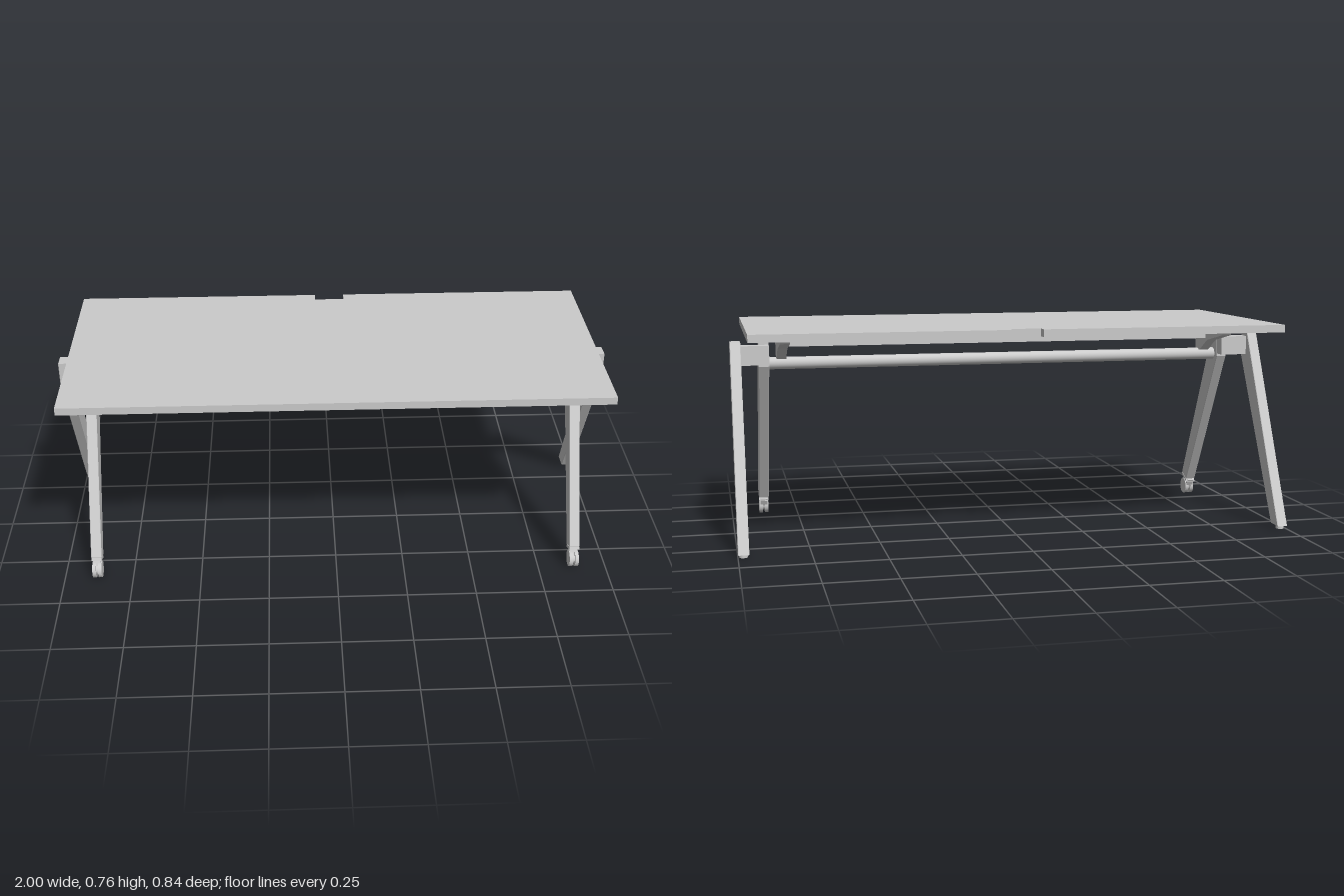
import * as THREE from 'three';

const material = new THREE.MeshStandardMaterial({ color: 0xcccccc });

function add(parent, name, geometry, x = 0, y = 0, z = 0) {
  const mesh = new THREE.Mesh(geometry, material);
  mesh.name = name;
  mesh.position.set(x, y, z);
  parent.add(mesh);
  return mesh;
}

// Side profile given as [z, y] points, extruded along x and centred on x = 0
function sideExtrude(points, width, bevel = 0) {
  const shape = new THREE.Shape(points.map(([z, y]) => new THREE.Vector2(-z, y)));
  const geometry = new THREE.ExtrudeGeometry(shape, {
    depth: width - 2 * bevel, bevelEnabled: bevel > 0, bevelSize: bevel,
    bevelThickness: bevel, bevelOffset: -bevel, bevelSegments: 1,
  });
  geometry.translate(0, 0, bevel - width / 2);
  geometry.rotateY(Math.PI / 2);
  return geometry;
}

// Cylinder lying along x
const axle = (radius, length, sides = 32) =>
  new THREE.CylinderGeometry(radius, radius, length, sides).rotateZ(Math.PI / 2);

function createCaster() {
  const caster = new THREE.Group();
  caster.name = 'caster';
  for (const s of [-1, 1]) add(caster, 'wheel', axle(0.031, 0.013), s * 0.0105, 0.031, 0.342);
  add(caster, 'wheelHub', axle(0.021, 0.03, 20), 0, 0.031, 0.342);
  const tilt = -0.46;
  add(caster, 'casterNeck', new THREE.BoxGeometry(0.026, 0.03, 0.04), 0, 0.055, 0.325).rotation.x = tilt;
  return caster;
}

function createSide(s) {
  const side = new THREE.Group();
  side.name = s > 0 ? 'leftFrame' : 'rightFrame';

  // Front leg with its end cap and caster
  add(side, 'frontLeg', sideExtrude(
    [[0, 0.61], [0, 0.705], [0.052, 0.705], [0.351, 0.089], [0.304, 0.066]], 0.038, 0.002), s * 0.879);
  add(side, 'legCap', sideExtrude(
    [[0.304, 0.064], [0.351, 0.087], [0.355, 0.077], [0.302, 0.053]], 0.036), s * 0.879);
  const caster = createCaster();
  caster.position.x = s * 0.879;
  side.add(caster);

  // Back leg, offset outwards, with a levelling foot
  add(side, 'backLeg', sideExtrude(
    [[0, 0.61], [0, 0.705], [-0.052, 0.705], [-0.385, 0.012], [-0.323, 0.012]], 0.038, 0.002), s * 0.981);
  add(side, 'foot', new THREE.CylinderGeometry(0.015, 0.015, 0.014, 24), s * 0.981, 0.007, -0.36);

  // Block joining the two legs
  add(side, 'legConnector', new THREE.BoxGeometry(0.105, 0.07, 0.05), s * 0.914, 0.655, -0.02);

  // Arm carrying the top, with a clamp reaching down to the crossbar
  add(side, 'supportArm', sideExtrude([
    [-0.205, 0.735], [-0.21, 0.735], [-0.21, 0.718], [-0.203, 0.709], [-0.06, 0.68], [-0.03, 0.665],
    [0.02, 0.635], [0.065, 0.635], [0.065, 0.68], [0.203, 0.709], [0.21, 0.718], [0.21, 0.735],
  ], 0.035), s * 0.815);
  return side;
}

export function createModel() {
  const table = new THREE.Group();
  table.name = 'table';

  // Top with a cable notch in the back edge
  const outline = new THREE.Shape([
    [-0.95, -0.42], [0.95, -0.42], [0.95, 0.42], [0.055, 0.42],
    [0.055, 0.38], [-0.055, 0.38], [-0.055, 0.42], [-0.95, 0.42],
  ].map(([x, y]) => new THREE.Vector2(x, y)));
  const top = new THREE.ExtrudeGeometry(outline, { depth: 0.027, bevelEnabled: false }).rotateX(-Math.PI / 2);
  add(table, 'tableTop', top, 0, 0.735, 0);

  // Stiffening beam and round crossbar
  add(table, 'beam', new THREE.BoxGeometry(1.6, 0.05, 0.05), 0, 0.71, -0.015);
  add(table, 'crossbar', axle(0.0225, 1.73), 0, 0.618, 0.045);

  for (const s of [-1, 1]) table.add(createSide(s));
  return table;
}
